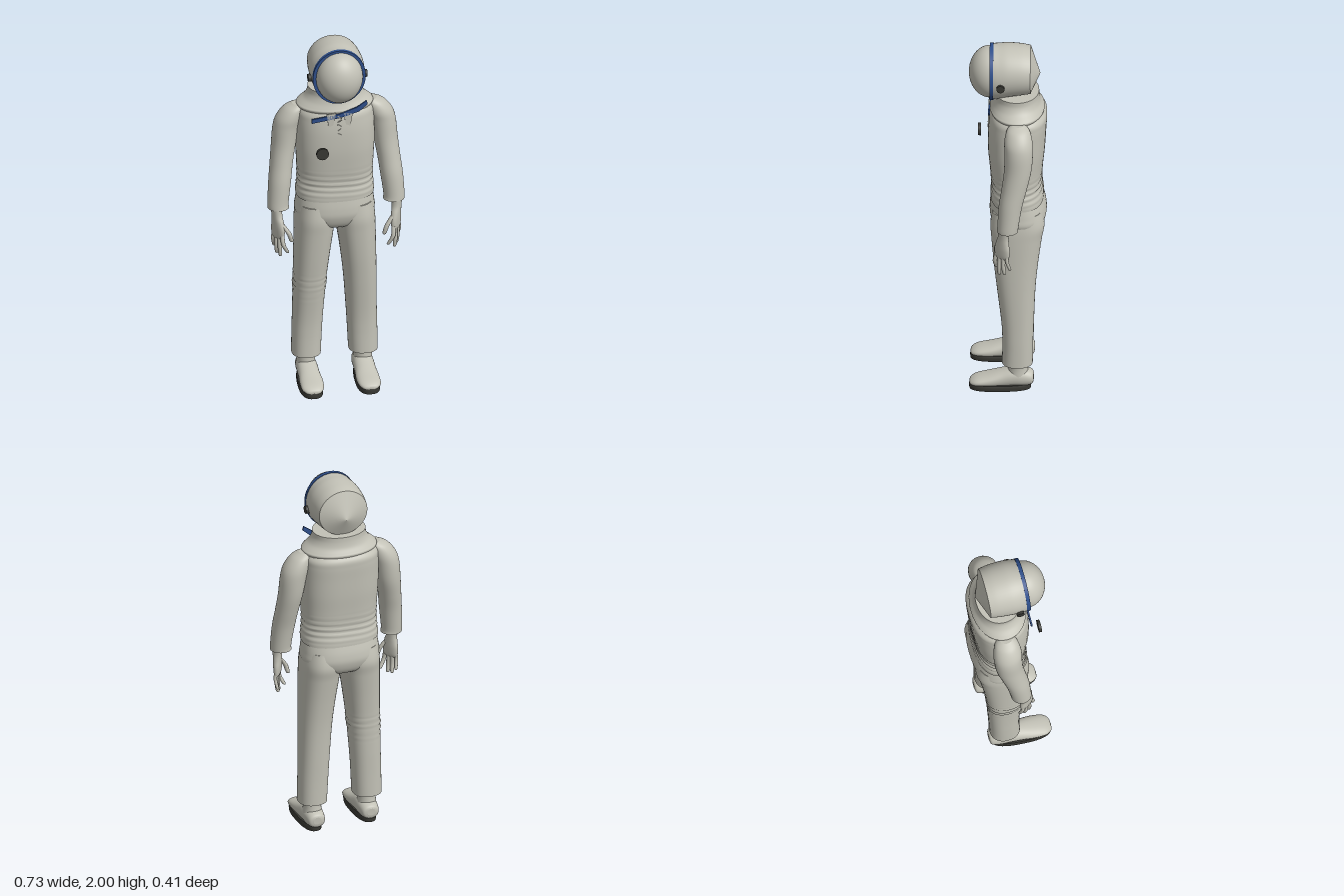
import * as THREE from 'three';

const mat = (name, color) => Object.assign(new THREE.MeshStandardMaterial({ color }), { name });

// Smooth interpolation through four values
const spline = (a, b, c, d, t) =>
  0.5 * (2 * b + (c - a) * t + (2 * a - 5 * b + 4 * c - d) * t * t + (3 * b - a - 3 * c + d) * t * t * t);

// Skin through horizontal rounded sections, listed bottom to top: [x, y, z, rx, rz].
// p is the squareness; wrinkle(y, angle) swells the section.
function loft(rings, { n = 32, steps = 6, p = 2, wrinkle = null } = {}) {
  const rows = [];
  const at = i => rings[Math.min(Math.max(i, 0), rings.length - 1)];
  for (let i = 0; i < rings.length - 1; i++)
    for (let k = 0; k < steps; k++)
      rows.push(at(i).map((_, c) => spline(at(i - 1)[c], at(i)[c], at(i + 1)[c], at(i + 2)[c], k / steps)));
  rows.push(at(rings.length - 1));
  const pos = [], index = [];
  const round = v => Math.sign(v) * Math.abs(v) ** (2 / p);
  const addRing = ([x, y, z, rx, rz]) => {
    const start = pos.length / 3;
    for (let j = 0; j < n; j++) {
      const a = (j / n) * Math.PI * 2, w = wrinkle ? wrinkle(y, a) : 0;
      pos.push(x + (rx + w) * round(Math.cos(a)), y, z + (rz + w) * round(Math.sin(a)));
    }
    return start;
  };
  rows.forEach(addRing);
  for (let i = 0; i < rows.length - 1; i++)
    for (let j = 0; j < n; j++) {
      const a = i * n + j, b = i * n + (j + 1) % n;
      index.push(a, a + n, b, b, a + n, b + n);
    }
  // End caps with their own vertices, so the rim stays sharp
  [rows[0], rows[rows.length - 1]].forEach((row, top) => {
    const s = addRing(row), c = pos.length / 3;
    pos.push(row[0], row[1], row[2]);
    for (let j = 0; j < n; j++) {
      const a = s + j, b = s + (j + 1) % n;
      index.push(c, top ? b : a, top ? a : b);
    }
  });
  const g = new THREE.BufferGeometry();
  g.setAttribute('position', new THREE.Float32BufferAttribute(pos, 3));
  g.setIndex(index);
  g.computeVertexNormals();
  return g;
}

// Skin along z, rings listed back to front: [x, y, z, rx, ry]
const loftZ = (rings, opts) =>
  loft(rings.map(([x, y, z, rx, ry]) => [x, z, -y, rx, ry]), opts).rotateX(Math.PI / 2);

// Section given by its front and back z limits
const span = (x, y, rx, front, back) => [x, y, (front + back) / 2, rx, (front - back) / 2];

export function createModel() {
  const model = new THREE.Group();
  const suit = mat('suit', 0xc3c2b7);
  const blue = mat('blue trim', 0x2e4f8c);
  const dark = mat('dark rubber', 0x393934);
  const add = (name, geometry, material = suit, parent = model) => {
    const m = new THREE.Mesh(geometry, material);
    m.name = name;
    parent.add(m);
    return m;
  };

  // Jacket with folds at the waist
  const waist = (y, a) => 0.004 * Math.sin(y * 190 + Math.sin(a * 2) * 1.2) * Math.max(0, 1 - Math.abs(y - 1.2) / 0.09);
  add('jacket', loft([
    span(0, 1.1, 0.206, 0.09, -0.19), span(0, 1.13, 0.206, 0.09, -0.188),
    span(0, 1.2, 0.199, 0.086, -0.179), span(0, 1.3, 0.203, 0.096, -0.186),
    span(0, 1.4, 0.208, 0.104, -0.196), span(0, 1.5, 0.208, 0.104, -0.202),
    span(0, 1.57, 0.205, 0.098, -0.206), span(0, 1.61, 0.198, 0.09, -0.203),
    span(0, 1.645, 0.165, 0.07, -0.175),
  ], { n: 48, steps: 10, p: 2.5, wrinkle: waist }));

  // Wide collar
  add('collar', loft([
    span(0, 1.625, 0.2, 0.09, -0.19), span(0, 1.638, 0.204, 0.095, -0.194),
    span(0, 1.65, 0.192, 0.09, -0.188), span(0, 1.675, 0.163, 0.08, -0.174),
    span(0, 1.705, 0.146, 0.072, -0.167), span(0, 1.735, 0.143, 0.07, -0.165),
  ], { n: 48, p: 2.1 }));

  // Laced neck opening
  for (const s of [-1, 1]) {
    const flap = new THREE.Shape([[0.018, 1.635], [0.07, 1.63], [0.058, 1.555], [0.035, 1.565]]
      .map(([x, y]) => new THREE.Vector2(x * s, y)));
    add('neckFlap', new THREE.ExtrudeGeometry(flap, { depth: 0.006, bevelEnabled: false })).position.z = 0.096;
  }
  for (let i = 0; i < 5; i++) {
    const lace = add('lace', new THREE.BoxGeometry(0.03 - i * 0.003, 0.005, 0.006));
    lace.position.set(0, 1.61 - i * 0.025, 0.1 + i * 0.001);
    lace.rotation.z = i % 2 ? 0.6 : -0.6;
  }

  // Blue strap across the neck and round chest badge
  const strap = new THREE.Shape([[-0.148, 1.585], [0, 1.605], [0.105, 1.635], [0.15, 1.675],
    [0.145, 1.697], [0.092, 1.66], [0, 1.628], [-0.148, 1.608]].map(q => new THREE.Vector2(...q)));
  add('neckStrap', new THREE.ExtrudeGeometry(strap, { depth: 0.009, bevelEnabled: false }), blue).position.z = 0.093;
  add('chestBadge', new THREE.CylinderGeometry(0.033, 0.033, 0.015, 24).rotateX(Math.PI / 2), dark)
    .position.set(-0.1, 1.427, 0.151);

  // Trousers seat
  add('trouserSeat', loft([
    span(0, 0.9, 0.02, -0.03, -0.07), span(0, 0.915, 0.09, 0.02, -0.125),
    span(0, 0.945, 0.17, 0.07, -0.18), span(0, 1.0, 0.21, 0.093, -0.203),
    span(0, 1.05, 0.208, 0.094, -0.201), span(0, 1.105, 0.2, 0.086, -0.186),
  ], { n: 48, p: 2.4 }));

  for (const s of [-1, 1]) {
    // Trouser leg, with creases at the right knee
    const knee = (y, a) => s > 0 ? 0 :
      0.005 * Math.sin(y * 200 + Math.sin(a) * 1.5) * Math.max(0, 1 - Math.abs(y - 0.57) / 0.08);
    add('trouserLeg', loft([
      span(0.152, 0.155, 0.077, 0.028, -0.134), span(0.148, 0.28, 0.079, 0.026, -0.136),
      span(0.143, 0.4, 0.081, 0.032, -0.14), span(0.134, 0.6, 0.087, 0.055, -0.148),
      span(0.124, 0.75, 0.094, 0.072, -0.162), span(0.112, 0.9, 0.103, 0.085, -0.182),
      span(0.107, 0.98, 0.104, 0.09, -0.195), span(0.104, 1.06, 0.095, 0.08, -0.18),
    ].map(r => [r[0] * s, ...r.slice(1)]), { n: 36, steps: 14, p: 2.3, wrinkle: knee }));

    // Ankle, shoe and sole
    add('ankle', loft([[0.152 * s, 0.08, -0.057, 0.052, 0.058], [0.152 * s, 0.12, -0.056, 0.048, 0.052],
      [0.152 * s, 0.165, -0.055, 0.049, 0.05]], { n: 24 }));
    add('shoe', loftZ([
      [0.15, 0.066, -0.139, 0.022, 0.02], [0.15, 0.063, -0.128, 0.044, 0.038], [0.15, 0.067, -0.08, 0.054, 0.052],
      [0.15, 0.068, -0.03, 0.056, 0.054], [0.15, 0.058, 0.03, 0.057, 0.046], [0.15, 0.048, 0.1, 0.062, 0.034],
      [0.152, 0.042, 0.16, 0.058, 0.023], [0.152, 0.036, 0.19, 0.04, 0.014], [0.152, 0.033, 0.198, 0.02, 0.006],
    ].map(r => [r[0] * s, ...r.slice(1)]), { n: 28, p: 2.2 }));
    const sole = loft([[0, 0, 0.038, 0.062, 0.162], [0, 0.02, 0.038, 0.064, 0.163], [0, 0.032, 0.038, 0.06, 0.16]],
      { n: 36, steps: 2, p: 2.6 });
    const q = sole.attributes.position;
    for (let i = 0; i < q.count; i++) q.setX(i, q.getX(i) * (0.94 + 0.7 * q.getZ(i))); // narrower heel
    sole.computeVertexNormals();
    add('sole', sole, dark).position.x = 0.152 * s;

    // Sleeve
    add('sleeve', loft([
      [0.308, 1.052, -0.004, 0.057, 0.056], [0.309, 1.085, -0.007, 0.056, 0.056], [0.298, 1.2, -0.02, 0.06, 0.062],
      [0.286, 1.3, -0.04, 0.061, 0.067], [0.272, 1.4, -0.057, 0.065, 0.072], [0.259, 1.5, -0.062, 0.069, 0.075],
      [0.241, 1.56, -0.06, 0.069, 0.074], [0.215, 1.61, -0.058, 0.056, 0.06], [0.195, 1.635, -0.056, 0.03, 0.035],
    ].map(r => [r[0] * s, ...r.slice(1)])));

    // Hand: palm, four fingers and thumb
    const hand = new THREE.Group();
    hand.name = 'hand';
    hand.position.set(0.315 * s, 0, 0.024);
    hand.rotation.y = -0.6 * s;
    model.add(hand);
    add('palm', loft([
      [0, 0.885, 0, 0.01, 0.034], [0, 0.9, 0, 0.016, 0.043], [0, 0.94, 0, 0.02, 0.046],
      [0, 0.98, -0.002, 0.022, 0.038], [0, 1.02, -0.008, 0.024, 0.03], [0, 1.08, -0.015, 0.03, 0.034],
    ], { n: 20, p: 2.3 }), suit, hand);
    const digit = (name, pts, r) => add(name, loft(
      pts.map(([x, y, z], i) => [x * s, y, z, r * [0.35, 0.85, 1, 1][i], r * [0.35, 0.85, 1, 1][i]]),
      { n: 12, steps: 4 }), suit, hand);
    [[0.05, 0.805, 0.012], [0.018, 0.783, 0], [-0.012, 0.79, 0.002], [-0.042, 0.82, 0.006]].forEach(([z, tip, curl], i) => {
      const base = 0.033 - i * 0.022;
      digit('finger', [[-curl * 2, tip, z], [-curl * 1.6, tip + 0.008, z],
        [0.004, tip + 0.055, (z + base) / 2 + 0.003], [0, 0.91, base]], i === 3 ? 0.0095 : 0.0115);
    });
    digit('thumb', [[-0.04, 0.868, 0.062], [-0.038, 0.877, 0.062], [-0.026, 0.92, 0.055], [-0.004, 0.97, 0.026]], 0.013);
  }

  // Helmet shell with a conical back
  add('helmetShell', loftZ([
    [0, 1.858, -0.12, 0.134, 0.127], [0, 1.859, -0.07, 0.142, 0.136], [0, 1.856, 0, 0.146, 0.144],
    [0, 1.848, 0.05, 0.143, 0.149], [0, 1.845, 0.085, 0.137, 0.152],
  ], { n: 48 }));
  add('helmetBack', loftZ([[0, 1.838, -0.171, 0.001, 0.001], [0, 1.858, -0.12, 0.134, 0.127]], { n: 48, steps: 1 }));
  add('helmetBand', loftZ([[0, 1.844, 0.075, 0.141, 0.156], [0, 1.844, 0.095, 0.141, 0.156]], { n: 48, steps: 1 }), blue);
  add('visor', new THREE.SphereGeometry(1, 48, 32).scale(0.124, 0.143, 0.112), suit).position.set(0, 1.845, 0.093);
  for (const s of [-1, 1])
    add('earPiece', new THREE.CylinderGeometry(0.021, 0.021, 0.022, 20).rotateZ(Math.PI / 2), dark)
      .position.set(0.147 * s, 1.826, 0.036);

  return model;
}
